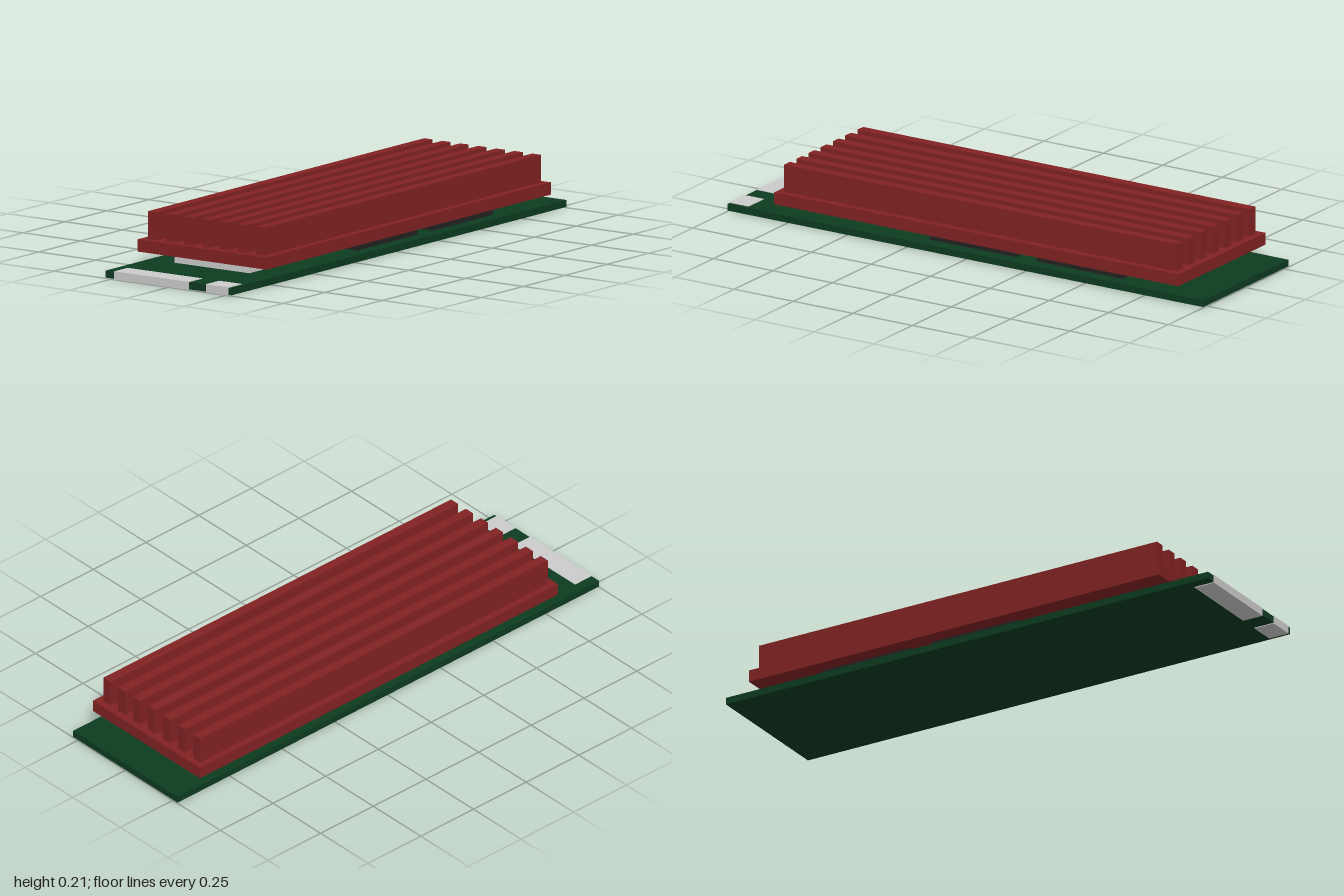
import * as THREE from 'three';

const material = (name, color) => Object.assign(new THREE.MeshStandardMaterial({ color }), { name });

export function createModel() {
  const model = new THREE.Group();
  model.name = 'storageModule';

  const red = material('heatsinkRed', 0x822222);
  const green = material('boardGreen', 0x0d3b20);
  const black = material('chipBlack', 0x222222);
  const silver = material('contactSilver', 0xcccccc);

  // Box given by its limits along each axis
  const box = (name, mat, [x0, x1], [y0, y1], [z0, z1]) => {
    const mesh = new THREE.Mesh(new THREE.BoxGeometry(x1 - x0, y1 - y0, z1 - z0), mat);
    mesh.position.set((x0 + x1) / 2, (y0 + y1) / 2, (z0 + z1) / 2);
    mesh.name = name;
    model.add(mesh);
  };

  // Circuit board
  box('circuitBoard', green, [-0.999, 1], [0.003, 0.028], [-0.275, 0.275]);

  // Edge contacts wrapping the board, with a key notch between them
  box('wideContact', silver, [-1, -0.92], [0, 0.03], [-0.237, 0.088]);
  box('narrowContact', silver, [-1, -0.92], [0, 0.03], [0.163, 0.262]);

  // Chips under the heatsink
  box('controllerChip', silver, [-0.74, -0.415], [0.028, 0.061], [-0.163, 0.163]);
  for (const x of [0, 0.45]) {
    box('memoryChip', black, [x - 0.18, x + 0.18], [0.028, 0.064], [-0.225, 0.225]);
  }

  // Heatsink plate and its seven fins
  box('heatsinkBase', red, [-0.8, 0.9], [0.064, 0.108], [-0.281, 0.281]);
  for (let i = -3; i <= 3; i++) {
    const z = i * 0.0787;
    box('heatsinkFin', red, [-0.775, 0.875], [0.108, 0.208], [z - 0.0187, z + 0.0187]);
  }

  return model;
}
